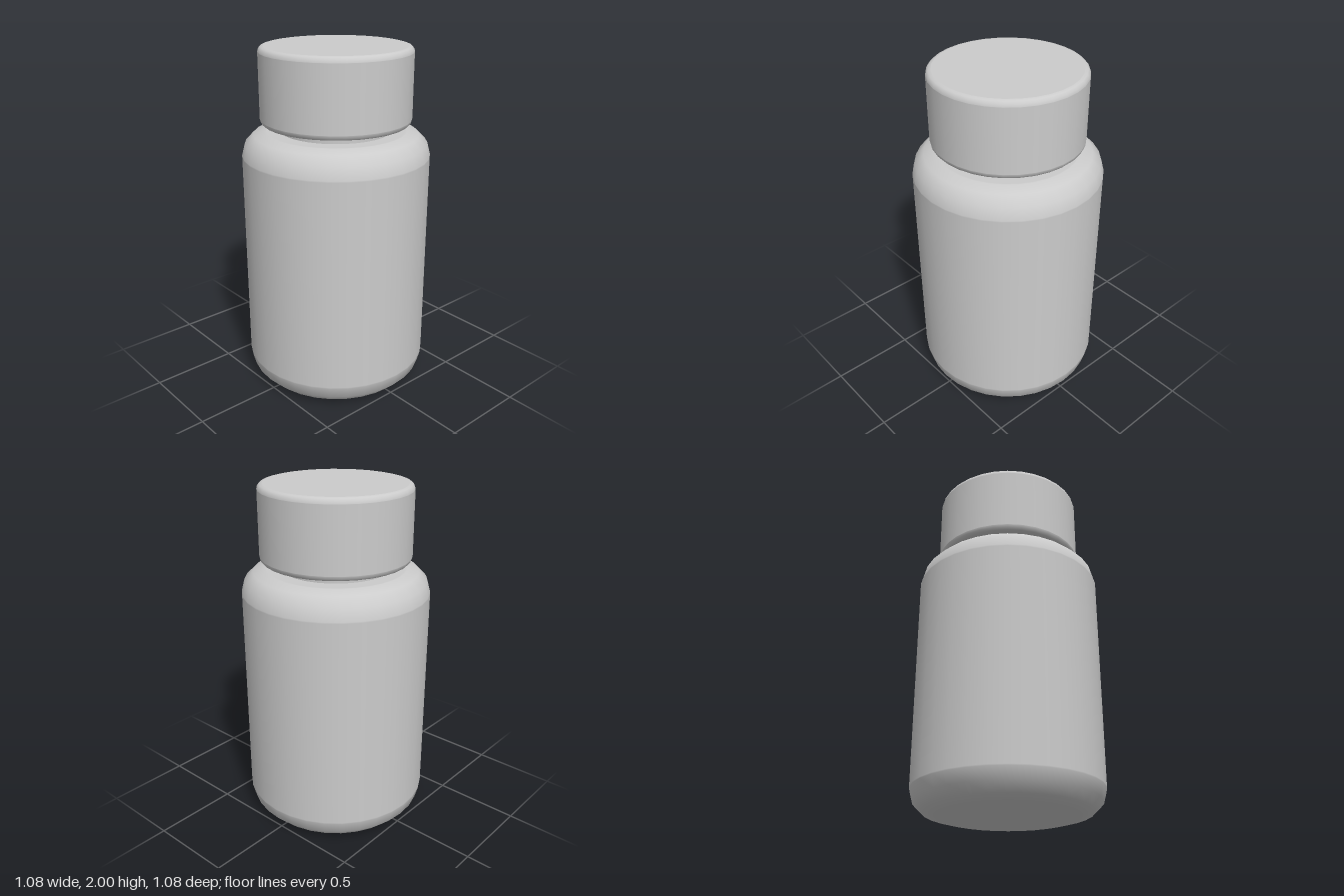
import * as THREE from 'three';

const SIDES = 32;
const BEVEL_STEPS = 3;
const material = new THREE.MeshStandardMaterial({ color: 0xcccccc });

// Closed drum from y0 to y1 with rounded rims; thin rings beside the
// bevels keep the shading of the flat ends and straight wall clean.
function roundedDrum(name, radius, y0, y1, bevel) {
  const inner = radius - bevel;
  const support = bevel * 0.06;
  const points = [new THREE.Vector2(0, y0), new THREE.Vector2(inner - support, y0)];
  for (let i = 0; i <= BEVEL_STEPS; i++) {
    const a = (i / BEVEL_STEPS) * Math.PI / 2;
    points.push(new THREE.Vector2(inner + bevel * Math.sin(a), y0 + bevel * (1 - Math.cos(a))));
  }
  points.push(new THREE.Vector2(radius, y0 + bevel + support));
  // The upper half mirrors the lower half
  const upper = points.map((p) => new THREE.Vector2(p.x, y0 + y1 - p.y)).reverse();
  const mesh = new THREE.Mesh(new THREE.LatheGeometry([...points, ...upper], SIDES), material);
  mesh.name = name;
  return mesh;
}

export function createModel() {
  const group = new THREE.Group();
  group.name = 'pillBottle';

  // Bottle body and screw cap
  group.add(roundedDrum('body', 0.54, 0, 1.525, 0.135));
  group.add(roundedDrum('cap', 0.432, 1.567, 2, 0.03));

  // Neck showing in the gap below the cap
  const neck = new THREE.Mesh(new THREE.CylinderGeometry(0.32, 0.32, 0.06, SIDES), material);
  neck.name = 'neck';
  neck.position.y = 1.546;
  group.add(neck);

  return group;
}
